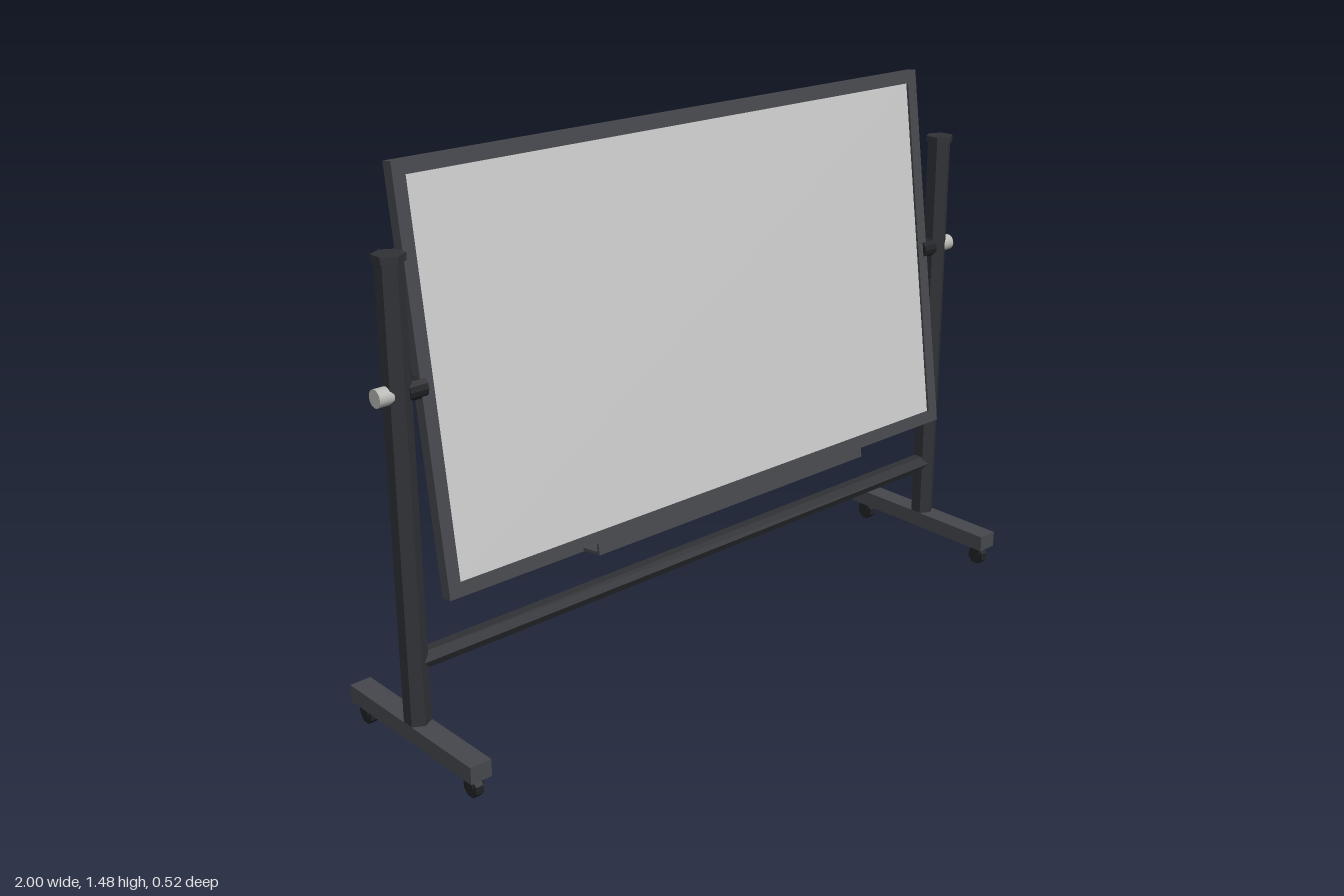
import * as THREE from 'three';

const mat = (color) => new THREE.MeshStandardMaterial({ color });

export function createModel() {
  const root = new THREE.Group();
  root.name = 'mobileBoard';
  const steel = mat(0x46484d), dark = mat(0x303236), black = mat(0x222326);
  const panelMat = mat(0xcccccc), metal = mat(0xb8b8b4);
  steel.flatShading = dark.flatShading = black.flatShading = true;

  const add = (parent, name, geo, material, x = 0, y = 0, z = 0) => {
    const m = new THREE.Mesh(geo, material);
    m.name = name;
    m.position.set(x, y, z);
    parent.add(m);
    return m;
  };
  const box = (w, h, d) => new THREE.BoxGeometry(w, h, d);
  // cylinder lying along x
  const rod = (r, len, sides) => new THREE.CylinderGeometry(r, r, len, sides).rotateZ(Math.PI / 2);

  // Tilting board: frame, recessed panel and pen tray
  const W = 1.77, H = 1.045, T = 0.033, B = 0.035, pivotY = 0.957;
  const board = new THREE.Group();
  board.name = 'board';
  board.position.y = pivotY;
  board.rotation.x = -0.1375;
  root.add(board);

  const outline = new THREE.Shape();
  outline.moveTo(-W / 2, -H / 2).lineTo(W / 2, -H / 2).lineTo(W / 2, H / 2).lineTo(-W / 2, H / 2).closePath();
  const hole = new THREE.Path();
  const hw = W / 2 - B, hh = H / 2 - B;
  hole.moveTo(-hw, -hh).lineTo(-hw, hh).lineTo(hw, hh).lineTo(hw, -hh).closePath();
  outline.holes.push(hole);
  const frameGeo = new THREE.ExtrudeGeometry(outline, { depth: T, bevelEnabled: false }).translate(0, 0, -T / 2);
  add(board, 'boardFrame', frameGeo, steel);
  add(board, 'writingPanel', box(hw * 2, hh * 2, 0.02), panelMat);

  add(board, 'trayShelf', box(0.96, 0.008, 0.065), steel, 0, -H / 2 + 0.006, T / 2 + 0.0315);
  add(board, 'trayLip', box(0.96, 0.03, 0.007), steel, 0, -H / 2 + 0.017, T / 2 + 0.0605);

  // Crossbar between the posts
  add(root, 'crossbar', rod(0.027, 1.86, 6), dark, 0, 0.266, 0);

  // Mirrored stands
  for (const s of [1, -1]) {
    const stand = new THREE.Group();
    stand.name = s > 0 ? 'leftStand' : 'rightStand';
    root.add(stand);
    const x = s * 0.94;
    add(stand, 'post', new THREE.CylinderGeometry(0.034, 0.034, 1.19, 6), dark, x, 0.685, 0);
    add(stand, 'postCap', new THREE.CylinderGeometry(0.04, 0.04, 0.018, 6), dark, x, 1.278, 0);
    add(stand, 'foot', box(0.06, 0.046, 0.524), steel, x, 0.079, 0);

    // Pivot collar and clamp knob
    add(stand, 'pivotCollar', rod(0.027, 0.05, 12), black, s * 0.895, pivotY, 0);
    add(stand, 'clampKnob', rod(0.023, 0.04, 24), metal, s * 0.98, pivotY, 0);

    // Casters
    for (const z of [0.228, -0.228]) {
      add(stand, 'casterFork', box(0.034, 0.026, 0.034), black, x, 0.044, z);
      add(stand, 'casterWheel', rod(0.027, 0.022, 8).rotateX(Math.PI / 8), black, x, 0.025, z);
    }
  }
  return root;
}
